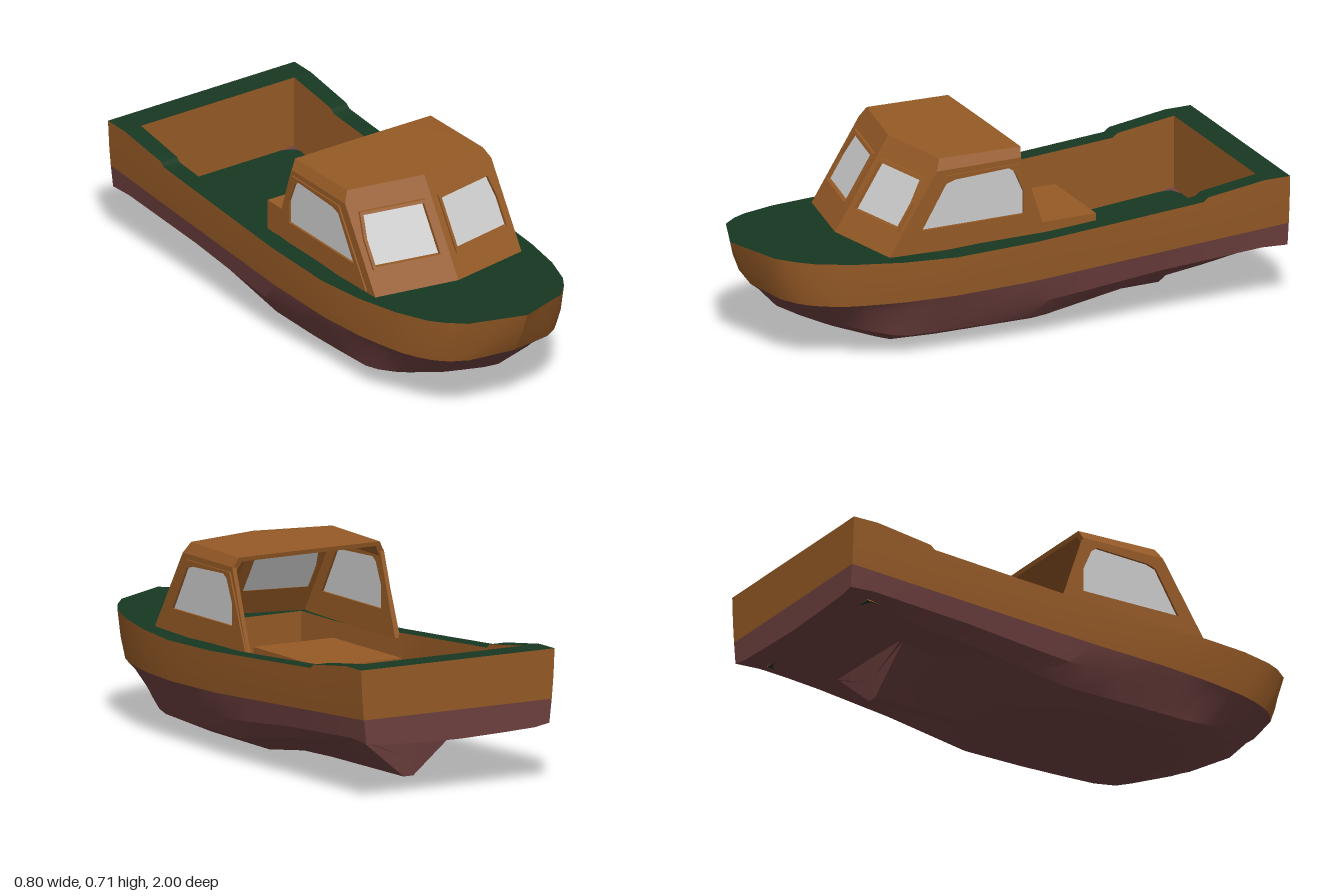
import * as THREE from 'three';
import { toCreasedNormals } from 'three/addons/utils/BufferGeometryUtils.js';

const mat = (color) => new THREE.MeshStandardMaterial({ color, side: THREE.DoubleSide });
const wood = mat(0x965a26), green = mat(0x173822), maroon = mat(0x6e403f), glass = mat(0xcccccc);

// Hull lines from bow to stern, each point [z, half breadth, height]
const sheer = [[1, 0, .415], [.92, .2, .405], [.86, .255, .4], [.8, .292, .395], [.67, .338, .388], [.5, .372, .38],
  [.3, .393, .375], [0, .4, .385], [-.3, .4, .405], [-.66, .4, .43], [-.68, .4, .445], [-.9, .402, .475], [-1, .402, .475]];
const topside = [[.96, 0, .315], [.91, .185, .31], [.85, .25, .305], [.78, .293, .3], [.67, .333, .298], [.5, .369, .296],
  [.3, .39, .296], [0, .396, .305], [-.5, .397, .335], [-1, .397, .375]];
const paintLine = [[.92, 0, .245], [.89, .16, .238], [.84, .233, .232], [.77, .284, .228], [.67, .323, .226],
  [.5, .36, .225], [.3, .382, .227], [0, .389, .235], [-.5, .39, .265], [-1, .39, .295]];
const chine = [[.89, 0, .222], [.85, .17, .218], [.77, .255, .212], [.65, .31, .204], [.4, .353, .177], [0, .37, .15],
  [-.1, .372, .15], [-.5, .375, .19], [-.9, .38, .215], [-1, .38, .21]];
const bilge = [[.82, 0, .148], [.76, .17, .145], [.6, .27, .108], [.48, .308, .078], [.2, .32, .075], [-.08, .322, .077],
  [-.4, .322, .13], [-.7, .32, .165], [-.9, .32, .205], [-1, .32, .2]];
const bottom = [[.73, 0, .098], [.67, .13, .092], [.48, .2, .032], [.3, .21, .028], [-.08, .21, .026],
  [-.4, .2, .1], [-.7, .2, .155], [-.9, .2, .2], [-1, .2, .195]];
const keel = [[.55, 0, .045], [.48, .02, .024], [0, .025, .004], [-.2, .025, 0], [-.67, .02, .004],
  [-.69, .02, .15], [-.9, .02, .2], [-1, .02, .19]];
const stations = [1, .96, .92, .89, .86, .8, .73, .67, .58, .5, .4, .3, .15, 0, -.08, -.2, -.3, -.4, -.5,
  -.6, -.66, -.67, -.68, -.69, -.8, -.9, -1];

// Point on a hull line at position z along the boat
function at(line, z) {
  let i = 0;
  while (i < line.length - 2 && z < line[i + 1][0]) i++;
  const [a, b] = [line[i], line[i + 1]];
  const t = THREE.MathUtils.clamp((a[0] - z) / (a[0] - b[0]), 0, 1);
  return [a[1] + (b[1] - a[1]) * t, a[2] + (b[2] - a[2]) * t, z];
}
// Stations forward of 0.3 are squeezed so that every line ends on the raked stem
const onStation = (line, z) => at(line, z > .3 ? .3 + (z - .3) * (line[0][0] - .3) / .7 : z);
const flip = ([x, y, z]) => [-x, y, z];

// Surface through rows of equally many points
function loft(rows, crease = .5) {
  const n = rows[0].length, index = [];
  for (let r = 0; r < rows.length - 1; r++) {
    for (let c = 0; c < n - 1; c++) {
      const a = r * n + c, b = a + n;
      index.push(a, b, a + 1, a + 1, b, b + 1);
    }
  }
  const geo = new THREE.BufferGeometry();
  geo.setAttribute('position', new THREE.Float32BufferAttribute(rows.flat(2), 3));
  geo.setIndex(index);
  return toCreasedNormals(geo, crease);
}

function outline(points, hole) {
  const toVec = ([x, y]) => new THREE.Vector2(x, y);
  const shape = new THREE.Shape(points.map(toVec));
  if (hole) shape.holes.push(new THREE.Path(hole.map(toVec)));
  return shape;
}
const slab = (points, hole, depth) =>
  new THREE.ExtrudeGeometry(outline(points, hole), { depth, bevelEnabled: false });

// Raked, V-shaped plane of the windscreen
const screenZ = (x, y) => .588 - .2 * Math.abs(x) - .63 * (y - .38);
function ontoScreen(geo, offset) {
  const p = geo.attributes.position;
  for (let i = 0; i < p.count; i++) p.setZ(i, p.getZ(i) + offset + screenZ(p.getX(i), p.getY(i)));
  geo.computeVertexNormals();
  return geo;
}

export function createModel() {
  const model = new THREE.Group();
  const add = (name, geo, material, parent = model) => {
    const mesh = new THREE.Mesh(geo, material);
    mesh.name = name;
    parent.add(mesh);
    return mesh;
  };

  // Hull
  const half = [paintLine, chine, bilge, bottom, keel];
  const section = (z) => {
    const pts = half.map((line) => onStation(line, z));
    return [...pts, ...pts.map(flip).reverse()];
  };
  add('hullBottom', loft(stations.map(section), .4), maroon);
  const band = stations.map((z) => [sheer, topside, paintLine].map((line) => onStation(line, z)));
  add('topsideLeft', loft(band), wood);
  add('topsideRight', loft(band.map((row) => row.map(flip).reverse())), wood);
  const across = (line) => [flip(at(line, -1)), at(line, -1)];
  add('transom', loft([sheer, topside, paintLine].map(across)), wood);
  add('transomBottom', loft(half.map(across)), maroon);

  // Deck with open well
  const wellFront = .5, wellBack = -.9;
  const wellX = [[.5, .285, 0], [0, .32, 0], [-.1, .335, 0], [-.9, .33, 0]];
  const floorLine = [[.5, 0, .15], [-.3, 0, .15], [-.9, 0, .203]];
  const rim = (z) => [at(wellX, z)[0], at(sheer, z)[1], z];
  const full = (z) => [flip(at(sheer, z)), at(sheer, z)];
  add('foredeck', loft(stations.filter((z) => z >= wellFront).map(full)), green);
  add('aftDeck', loft([wellBack, -1].map(full)), green);
  const wellStations = stations.filter((z) => z <= wellFront && z >= wellBack);
  const drop = ([x, , z]) => [x, at(floorLine, z)[1], z];
  for (const [side, m] of [['Left', (p) => p], ['Right', flip]]) {
    add('sideDeck' + side, loft(wellStations.map((z) => [m(at(sheer, z)), m(rim(z))]), 1), green);
    add('wellWall' + side, loft(wellStations.map((z) => [m(rim(z)), m(drop(rim(z)))])), wood);
  }
  for (const [name, z] of [['wellFrontWall', wellFront], ['wellBackWall', wellBack]]) {
    const r = rim(z);
    add(name, loft([[flip(r), r], [flip(drop(r)), drop(r)]]), wood);
  }
  add('wellFloor', loft(wellStations.map((z) => [flip(drop(rim(z))), drop(rim(z))])), green);

  // Engine box
  const box = add('engineBox', new THREE.BoxGeometry(.332, .21, .455), wood);
  box.position.set(-.002, .255, -.1275);

  // Cabin, set slightly to one side
  const cabin = new THREE.Group();
  cabin.name = 'cabin';
  cabin.position.x = -.007;
  model.add(cabin);

  // Windscreen halves, with frames and panes
  const mirror = (pts, s) => pts.map(([x, y]) => [x * s, y]);
  const wall = [[0, .365], [.315, .365], [.315, .675], [.2925, .714], [0, .715]];
  const pane = [[.038, .474], [.282, .474], [.282, .56], [.267, .635], [.038, .635]];
  const trim = [[.027, .464], [.293, .464], [.293, .56], [.277, .645], [.027, .645]];
  for (const [side, s] of [['Left', 1], ['Right', -1]]) {
    const hole = mirror(pane, s);
    add('windscreen' + side, ontoScreen(slab(mirror(wall, s), hole, .016), -.016), wood, cabin);
    add('windscreenFrame' + side, ontoScreen(slab(mirror(trim, s), hole, .01), 0), wood, cabin);
    add('windscreenPane' + side, ontoScreen(slab(hole, null, .004), -.01), glass, cabin);
  }

  // Side walls, drawn as z and y, with raised outer panels and panes
  const sideWall = [[screenZ(.315, .365), .365], [screenZ(.315, .675), .675], [.01, .675], [-.09, .375]];
  const sidePane = [[.4, .465], [.305, .625], [.27, .636], [.06, .645], [.038, .63], [.003, .55], [.003, .465]];
  const sidePanel = [[.475, .385], [.305, .655], [.02, .655], [-.085, .385]];
  const sidePart = (name, pts, hole, depth, x, material) => {
    for (const [side, px] of [['Left', x + depth], ['Right', -x]]) {
      const geo = slab(pts, hole, depth).rotateY(-Math.PI / 2);
      add(name + side, geo, material, cabin).position.x = px;
    }
  };
  sidePart('sideWall', sideWall, sidePane, .016, .299, wood);
  sidePart('sidePanel', sidePanel, sidePane, .006, .315, wood);
  sidePart('sidePane', sidePane, null, .004, .308, glass);

  // Roof shell with chamfered edges
  const arch = [[-.315, .675], [-.2925, .714], [0, .715], [.2925, .714], [.315, .675]];
  const inner = arch.map(([x, y]) => [x * .95, y - .016]);
  const backZ = (y) => (.715 - y) * .25;
  const front = (pts) => pts.map(([x, y]) => [x, y, screenZ(x, y)]);
  const back = (pts) => pts.map(([x, y]) => [x, y - .006, backZ(y)]);
  add('roof', loft([front(arch), back(arch), back(inner), front(inner)], .3), wood, cabin);

  return model;
}
